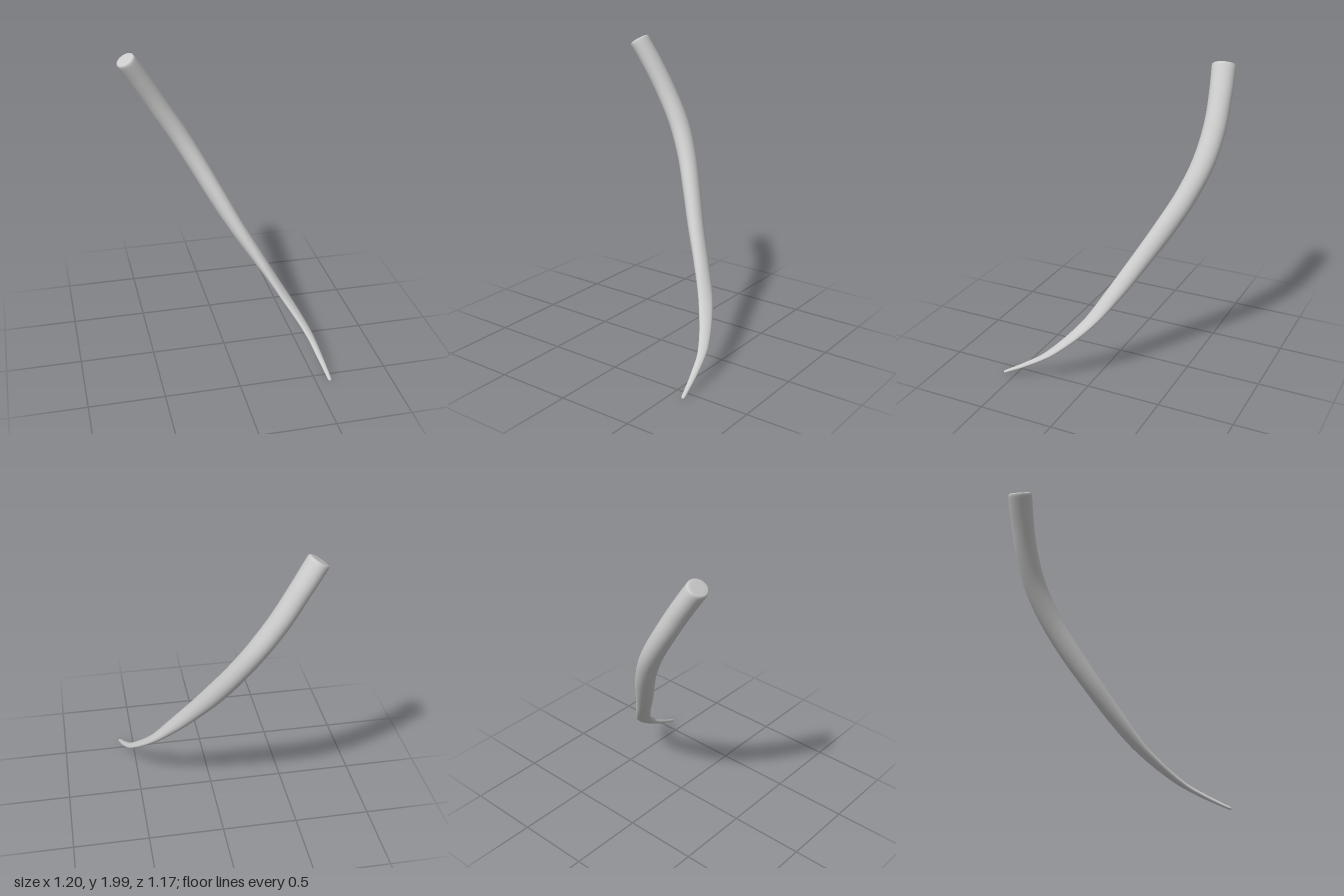
import * as THREE from 'three';

// Stations from root to tip: x, y, z, half-width, half-depth, section skew
const STATIONS = [
  [-0.545, 1.968, -0.48, 0.08, 0.066, 0],
  [-0.44, 1.8, -0.502, 0.077, 0.066, 0],
  [-0.32, 1.6, -0.512, 0.075, 0.066, -0.04],
  [-0.197, 1.4, -0.488, 0.073, 0.066, -0.08],
  [-0.083, 1.2, -0.42, 0.067, 0.066, -0.12],
  [0.027, 1.0, -0.32, 0.062, 0.065, -0.15],
  [0.143, 0.8, -0.205, 0.057, 0.056, -0.2],
  [0.272, 0.6, -0.085, 0.053, 0.043, -0.25],
  [0.403, 0.4, 0.055, 0.047, 0.024, -0.22],
  [0.527, 0.2, 0.265, 0.031, 0.017, -0.2],
  [0.567, 0.1, 0.42, 0.021, 0.014, -0.1],
  [0.595, 0.012, 0.582, 0.012, 0.01, 0],
];
const SIDES = 32;
const STEPS = 110;

// Smooth interpolation of three station columns, in step with the path
function track(column) {
  return new THREE.CatmullRomCurve3(
    STATIONS.map((s) => new THREE.Vector3(...s.slice(column, column + 3))));
}

function tuskGeometry() {
  const path = track(0);
  const section = track(3);
  const up = new THREE.Vector3(0, 1, 0);
  const positions = [];
  const index = [];

  // One ring: path parameter and a scale that closes the ends
  const rings = [[0, 0], [0, 0.4], [0, 0.8], [0.001, 0.9], [0.003, 0.97]];
  for (let i = 1; i < STEPS; i++) rings.push([i / STEPS, 1]);
  rings.push([0.996, 0.9], [0.999, 0.6], [1, 0]);

  for (const [t, scale] of rings) {
    const centre = path.getPoint(t);
    const along = path.getTangent(t);
    const across = up.clone().cross(along).normalize();
    const over = along.clone().cross(across);
    const size = section.getPoint(t);
    for (let j = 0; j < SIDES; j++) {
      const angle = (j / SIDES) * Math.PI * 2;
      const u = size.x * Math.cos(angle) * scale;
      const v = size.y * Math.sin(angle) * scale + size.z * u;
      const p = centre.clone().addScaledVector(across, u).addScaledVector(over, v);
      positions.push(p.x, p.y, p.z);
    }
  }

  for (let i = 0; i < rings.length - 1; i++) {
    for (let j = 0; j < SIDES; j++) {
      const a = i * SIDES + j;
      const b = i * SIDES + ((j + 1) % SIDES);
      if (rings[i][1] > 0) index.push(a, b, a + SIDES);
      if (rings[i + 1][1] > 0) index.push(b, b + SIDES, a + SIDES);
    }
  }

  const geometry = new THREE.BufferGeometry();
  geometry.setAttribute('position', new THREE.Float32BufferAttribute(positions, 3));
  geometry.setIndex(index);
  geometry.computeVertexNormals();
  return geometry;
}

export function createModel() {
  const group = new THREE.Group();
  const material = new THREE.MeshStandardMaterial({ color: 0xcccccc });

  // Curved, tapering tusk with a flat, soft-edged root
  const tusk = new THREE.Mesh(tuskGeometry(), material);
  tusk.name = 'tusk';
  group.add(tusk);
  return group;
}
